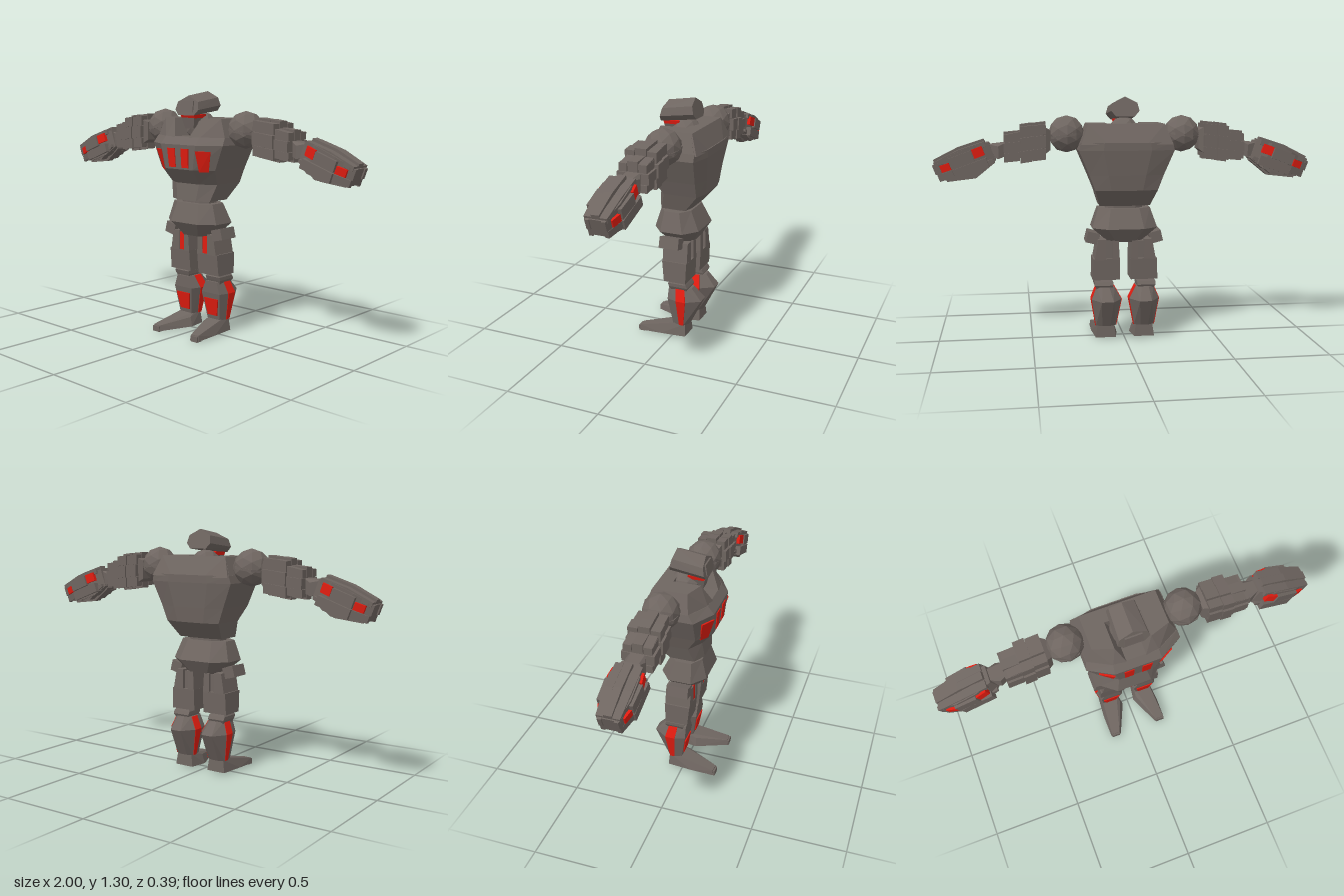
import * as THREE from 'three';
import { ConvexGeometry } from 'three/addons/geometries/ConvexGeometry.js';

const grey = new THREE.MeshStandardMaterial({ color: 0x6e6560, flatShading: true });
const red = new THREE.MeshStandardMaterial({ color: 0xe01c10, flatShading: true });

// Corner points of a faceted block given as rectangles [t, a0, a1, z0, z1] along x or y
function slab(axis, ...sections) {
  const pts = [];
  for (const [t, a0, a1, z0, z1] of sections)
    for (const a of [a0, a1]) for (const z of [z0, z1])
      pts.push(axis === 'x' ? [t, a, z] : [a, t, z]);
  return pts;
}
const box = (x0, x1, y0, y1, z0, z1) => slab('x', [x0, y0, y1, z0, z1], [x1, y0, y1, z0, z1]);

// Thin plate: a quad thickened both ways along n
const plate = (quad, n) => quad.flatMap(p => [p.map((v, i) => v + n[i]), p.map((v, i) => v - n[i])]);

function add(parent, name, geometry, material = grey) {
  const mesh = new THREE.Mesh(geometry, material);
  mesh.name = name;
  parent.add(mesh);
  return mesh;
}

// Convex faceted part; s mirrors x, m is an optional placement
function hull(parent, name, pts, { s = 1, m = null, mat = grey } = {}) {
  const v = pts.map(p => {
    const q = new THREE.Vector3(...p);
    if (m) q.applyMatrix4(m);
    q.x *= s;
    return q;
  });
  return add(parent, name, new ConvexGeometry(v), mat);
}

// Stacked octagonal rings [y, halfWidth, zFront, zBack], lowest first
function loft(rings, kx, kf, kb) {
  const loops = rings.map(([y, h, f, b]) => {
    const d = f - b, sf = f - d * kf, sb = b + d * kb, c = h * kx;
    return [[h, sf], [c, f], [-c, f], [-h, sf], [-h, sb], [-c, b], [c, b], [h, sb]].map(([x, z]) => [x, y, z]);
  });
  const pos = [], tri = (...p) => p.forEach(q => pos.push(...q));
  for (let r = 0; r + 1 < loops.length; r++)
    for (let i = 0; i < 8; i++) {
      const j = (i + 1) % 8, a = loops[r], b = loops[r + 1];
      tri(a[i], b[i], a[j]);
      tri(a[j], b[i], b[j]);
    }
  const lo = loops[0], hi = loops[loops.length - 1];
  for (let i = 1; i < 7; i++) {
    tri(lo[0], lo[i], lo[i + 1]);
    tri(hi[0], hi[i + 1], hi[i]);
  }
  const g = new THREE.BufferGeometry();
  g.setAttribute('position', new THREE.Float32BufferAttribute(pos, 3));
  g.computeVertexNormals();
  return g;
}

function buildTorso(g) {
  add(g, 'chest', loft([
    [0.73, 0.135, 0.1, -0.085], [0.82, 0.165, 0.09, -0.165], [0.9, 0.195, 0.155, -0.175],
    [1.03, 0.25, 0.165, -0.19], [1.07, 0.24, 0.13, -0.19]], 0.5, 0.2, 0.08));
  add(g, 'pelvis', loft([
    [0.535, 0.09, 0.065, -0.085], [0.61, 0.175, 0.12, -0.13], [0.715, 0.14, 0.09, -0.08]], 0.55, 0.25, 0.25));
  add(g, 'waist', loft([[0.69, 0.1, 0.06, -0.06], [0.76, 0.1, 0.06, -0.06]], 0.6, 0.25, 0.25));
  // Upper back and the two collar blocks leave a notch for the chin
  hull(g, 'upperBack', slab('y', [1.06, -0.24, 0.24, -0.175, -0.05], [1.165, -0.2, 0.2, -0.135, -0.06])
    .concat([[-0.1, 1.06, -0.19], [0.1, 1.06, -0.19]]));
  for (const s of [1, -1]) {
    hull(g, 'collar', [
      [0.05, 1.065, 0.135], [0.12, 1.065, 0.13], [0.24, 1.065, 0.065], [0.24, 1.065, -0.16], [0.05, 1.065, -0.16],
      [0.095, 1.165, 0.085], [0.2, 1.165, 0.05], [0.2, 1.165, -0.13], [0.095, 1.165, -0.13]], { s });
    hull(g, 'chestPanelInner', plate([[0.022, 1.01, 0.163], [0.075, 1.01, 0.163], [0.068, 0.91, 0.155],
      [0.022, 0.91, 0.155]], [0, 0, 0.005]), { s, mat: red });
    hull(g, 'chestPanelOuter', plate([[0.122, 1.0, 0.162], [0.193, 1.0, 0.121], [0.163, 0.89, 0.1],
      [0.122, 0.89, 0.13]], [0.003, 0, 0.006]), { s, mat: red });
  }
}

function buildHead(g) {
  add(g, 'neck', new THREE.IcosahedronGeometry(0.085, 1)).position.set(0, 1.115, -0.02);
  // Pentagonal hood leaning forward
  const profile = [[0, 1.305], [0.072, 1.265], [0.083, 1.215], [0.055, 1.18]];
  const hood = [];
  for (const [x, y] of profile) for (const s of [1, -1]) {
    const drop = (1.305 - y) / 0.125;
    hood.push([s * x, y - 0.022 * (1 - drop), 0.08 + 0.022 * drop]);
    hood.push([s * x * 0.9, y + 0.022 * drop, -0.07 - 0.025 * drop]);
  }
  hull(g, 'hood', hood);
  hull(g, 'facePlate', plate([[-0.045, 1.255, 0.09], [0.045, 1.255, 0.09], [0.048, 1.195, 0.1],
    [-0.048, 1.195, 0.1]], [0, 0, 0.004]));
  hull(g, 'visor', slab('y', [1.165, -0.046, 0.046, 0, 0.085], [1.185, -0.05, 0.05, 0, 0.094]), { mat: red });
  hull(g, 'jaw', slab('y', [1.11, -0.03, 0.03, -0.04, 0.075], [1.167, -0.046, 0.046, -0.06, 0.088]));
}

function buildArm(g, s) {
  const z = s > 0 ? -0.02 : -0.045;
  const ball = add(g, 'shoulder', new THREE.IcosahedronGeometry(0.097, 1));
  ball.position.set(s * 0.305, 1.11, z - 0.005);
  const band = add(g, 'shoulderBand', new THREE.CylinderGeometry(0.096, 0.096, 0.012, 12));
  band.position.set(s * 0.305, 1.105, z - 0.005);
  band.rotation.z = -s * 0.15;

  // Upper arm: a core wrapped by a 3 x 3 x 3 shell of armour plates
  let m = new THREE.Matrix4().makeTranslation(0, 0, z);
  hull(g, 'upperArmCore', slab('x', [0.39, 1.03, 1.13, -0.05, 0.05], [0.43, 1.0, 1.15, -0.07, 0.07],
    [0.625, 0.99, 1.11, -0.07, 0.07]), { s, m });
  const columns = [[0.415, 0.485, 0.975, 1.178, 0.088], [0.487, 0.547, 0.965, 1.172, 0.094], [0.549, 0.632, 0.97, 1.132, 0.084]];
  for (const [x0, x1, y0, y1, w] of columns)
    for (let j = 0; j < 3; j++) for (let k = 0; k < 3; k++) {
      if (j === 1 && k === 1) continue;
      const h = (y1 - y0) / 3, d = w * 2 / 3;
      // edge plates sit a little inside the middle ones
      const ey = k === 1 ? 0 : 0.012, ez = j === 1 ? 0 : 0.01;
      const a = y0 + h * j + (j === 0 ? ey : 0), b = y0 + h * (j + 1) - (j === 2 ? ey : 0);
      const c = -w + d * k + (k === 0 ? ez : 0), e = -w + d * (k + 1) - (k === 2 ? ez : 0);
      hull(g, 'upperArmPlate', slab('x', [x0, a + 0.002, b - 0.002, c + 0.002, e - 0.002],
        [x1, a - 0.006, b - 0.01, c + 0.002, e - 0.002]), { s, m });
    }
  hull(g, 'elbow', slab('x', [0.62, 1.0, 1.07, -0.035, 0.035], [0.66, 0.985, 1.05, -0.05, 0.05],
    [0.71, 0.995, 1.06, -0.03, 0.03]), { s, m });

  // Forearm, sloping down and outwards
  m = new THREE.Matrix4().makeTranslation(0.69, 1.02, z).multiply(new THREE.Matrix4().makeRotationZ(-0.35));
  hull(g, 'forearmCore', slab('x', [0, -0.045, 0.055, -0.045, 0.045], [0.08, -0.075, 0.068, -0.072, 0.072],
    [0.2, -0.07, 0.062, -0.072, 0.072], [0.305, -0.04, 0.045, -0.045, 0.045]), { s, m });
  // Long ribs on the top and bottom
  for (const k of [-1, 0, 1]) {
    const c = k * 0.046, w = 0.02, lift = k ? -0.012 : 0;
    hull(g, 'forearmTopRib', slab('x', [0.02, 0.04, 0.08 + lift, c - w, c + w],
      [0.16, 0.04, 0.085 + lift, c - w, c + w], [0.3, 0.03, 0.068 + lift, c * 0.8 - w, c * 0.8 + w]), { s, m });
    hull(g, 'forearmBottomRib', slab('x', [0.01, -0.057 - lift, -0.03, c - w, c + w],
      [0.13, -0.098 - lift, -0.03, c - w, c + w], [0.275, -0.063 - lift, -0.02, c * 0.8 - w, c * 0.8 + w]), { s, m });
  }
  // Side ribs with two glowing panels on the front and back
  for (const f of [1, -1]) {
    const side = (name, x0, x1, y0, y1, d0, d1, mat) => hull(g, name,
      slab('x', [x0, y0, y1, f * 0.03, f * d0], [x1, y0, y1, f * 0.03, f * d1]), { s, m, mat });
    side('forearmSideRib', 0.04, 0.22, -0.062, -0.012, 0.088, 0.085);
    side('forearmSideRib', 0.1, 0.22, -0.006, 0.05, 0.09, 0.085);
    side('forearmTip', 0.224, 0.305, -0.048, -0.012, 0.078, 0.05);
    side('forearmTip', 0.28, 0.312, -0.008, 0.045, 0.06, 0.05);
    side('forearmPanel', 0.04, 0.096, 0.003, 0.052, 0.077, 0.085, red);
    side('forearmPanel', 0.226, 0.277, -0.008, 0.03, 0.08, 0.065, red);
  }
}

function buildLeg(g, s) {
  // Hip pod
  const m = new THREE.Matrix4().makeTranslation(0.172, 0.555, -0.005).multiply(new THREE.Matrix4().makeRotationZ(0.25));
  hull(g, 'hipPod', box(-0.035, 0.032, -0.03, 0.03, -0.055, 0.055), { s, m });
  // Thigh: lower block and two prongs around a slot
  hull(g, 'thigh', slab('y', [0.33, 0.03, 0.175, -0.087, 0.037], [0.445, 0.03, 0.172, -0.092, 0.048]), { s });
  hull(g, 'thighInnerProng', slab('y', [0.44, 0.03, 0.068, -0.092, 0.048], [0.545, 0.036, 0.068, -0.09, 0.05]), { s });
  hull(g, 'thighOuterProng', slab('y', [0.44, 0.102, 0.165, -0.092, 0.048], [0.55, 0.102, 0.145, -0.09, 0.05]), { s });
  hull(g, 'thighPanel', box(0.066, 0.104, 0.44, 0.54, -0.02, 0.046), { s, mat: red });
  hull(g, 'thighSlot', box(0.066, 0.104, 0.43, 0.54, -0.075, -0.02), { s });
  hull(g, 'knee', slab('y', [0.27, 0.075, 0.15, -0.08, 0], [0.3, 0.065, 0.165, -0.095, 0.012],
    [0.318, 0.065, 0.165, -0.085, 0.018], [0.34, 0.08, 0.15, -0.07, 0.0]), { s });

  // Shin sections: y, inner x, outer x, front z, strip front, strip back, back z
  const shin = [[0.075, 0.05, 0.158, -0.005, -0.045, -0.07, -0.088], [0.225, 0.022, 0.182, 0.02, -0.035, -0.09, -0.162],
    [0.29, 0.058, 0.155, 0.02, -0.025, -0.075, -0.105]];
  hull(g, 'shin', shin.flatMap(([y, a, b, f, p, q, k]) => {
    const w = (b - a) * 0.1, v = (b - a) * 0.3;
    return [[a, y, p], [a, y, q], [b, y, p], [b, y, q], [a + w, y, f], [b - w, y, f], [a + v, y, k], [b - v, y, k]];
  }), { s });
  for (const side of [1, 2]) for (const i of [0, 1]) {
    const [l, h] = [shin[i], shin[i + 1]], n = side === 1 ? -0.003 : 0.003;
    hull(g, 'shinSidePanel', plate([[l[side], l[0], l[4]], [l[side], l[0], l[5]],
      [h[side], h[0], h[5]], [h[side], h[0], h[4]]], [n, 0, 0]), { s, mat: red });
  }
  hull(g, 'shinFrontPanel', plate([[0.055, 0.195, 0.016], [0.153, 0.195, 0.016], [0.135, 0.1, 0.001],
    [0.07, 0.1, 0.001]], [0, 0, 0.005]), { s, mat: red });

  // Foot, splayed outwards
  hull(g, 'foot', [
    ...slab('y', [0.01, 0.05, 0.16, -0.08, -0.01], [0.08, 0.06, 0.15, -0.075, -0.02]),
    [0.035, 0.01, 0.02], [0.172, 0.01, 0.06], [0.05, 0.06, 0.015], [0.155, 0.06, 0.03],
    [0.112, 0.005, 0.192], [0.17, 0.005, 0.188], [0.118, 0.035, 0.188], [0.165, 0.035, 0.184]], { s });
  hull(g, 'toeCap', box(0.118, 0.165, 0, 0.03, 0.16, 0.196), { s });
}

export function createModel() {
  const model = new THREE.Group();
  model.name = 'robot';
  const part = name => {
    const g = new THREE.Group();
    g.name = name;
    model.add(g);
    return g;
  };
  buildTorso(part('torso'));
  buildHead(part('head'));
  for (const s of [1, -1]) {
    const label = s > 0 ? 'left' : 'right';
    buildArm(part(label + 'Arm'), s);
    buildLeg(part(label + 'Leg'), s);
  }
  return model;
}
